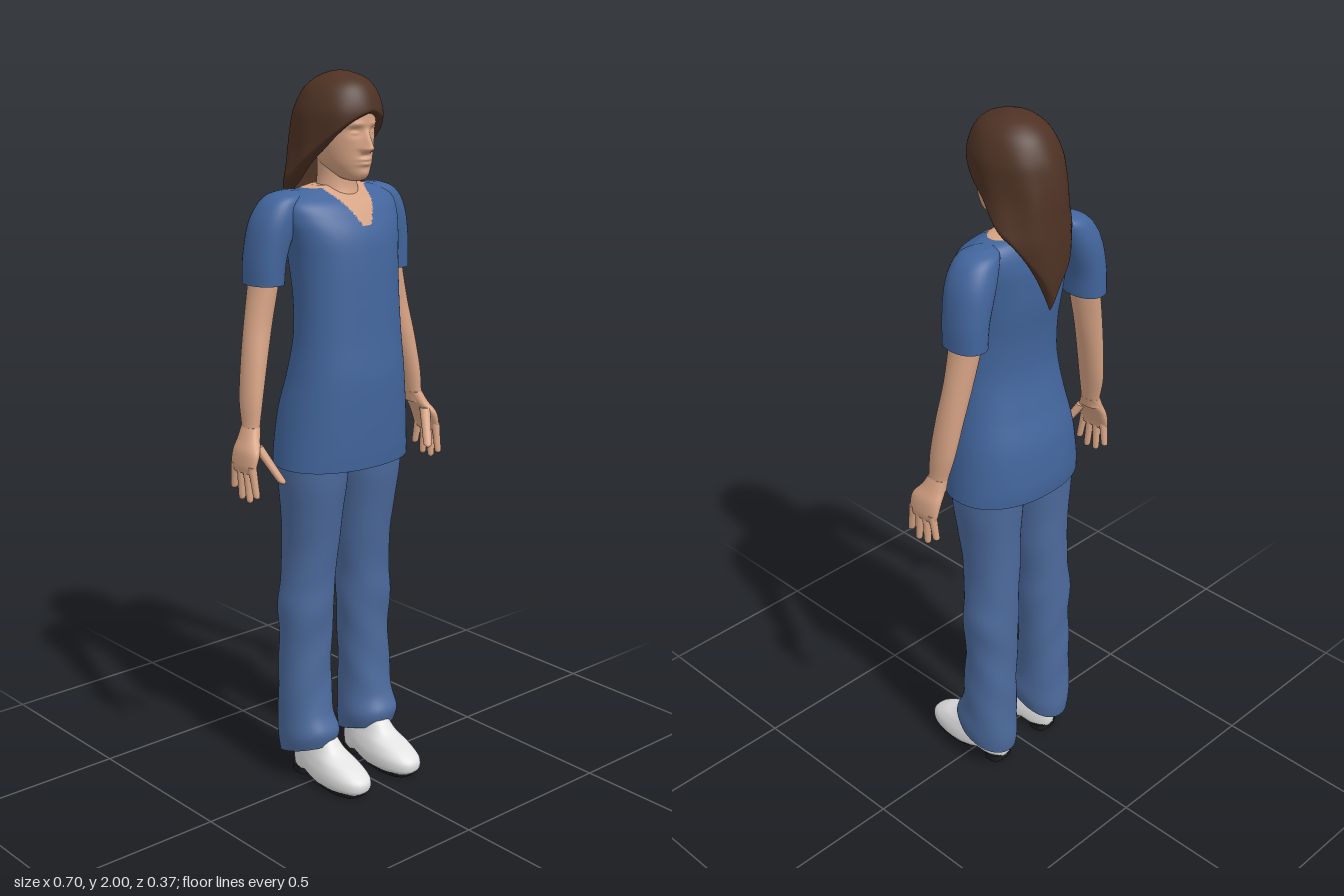
import * as THREE from 'three';

const mat = (name, color, side = THREE.FrontSide) => {
  const m = new THREE.MeshStandardMaterial({ color, side });
  m.name = name;
  return m;
};
const tunicBlue = mat('tunic blue', 0x42659c);
const trouserBlue = mat('trouser blue', 0x4c6a9c);
const skin = mat('skin', 0xd6a384);
const hairBrown = mat('hair brown', 0x4e3224, THREE.DoubleSide);
const shoeWhite = mat('shoe white', 0xe2e2e2);
const soleBlack = mat('sole black', 0x1c1c1c);

const gauss = (d, w) => Math.exp(-(d * d) / (w * w));
const clamp = THREE.MathUtils.clamp;

// Smooth interpolation through a list of rows at fractional index u
function sample(rows, u) {
  const n = rows.length - 1;
  const i = clamp(Math.floor(u), 0, n - 1), f = u - i;
  const P = k => rows[clamp(k, 0, n)];
  return P(i).map((b, k) => {
    const a = P(i - 1)[k], c = P(i + 1)[k], d = P(i + 2)[k];
    return b + 0.5 * f * (c - a + f * (2 * a - 5 * b + 4 * c - d + f * (3 * (b - c) + d - a)));
  });
}

// Skin rows of [y, xMin, xMax, zMin, zMax], bottom to top, with a closed smooth surface.
// p squares the outline, remap shifts the row index, warp moves points, pick chooses a material.
function loft(rows, { seg = 32, steps = 32, p = 2, remap, warp, pick, caps = true } = {}) {
  const pos = [], lists = [[], []];
  const bend = v => Math.sign(v) * Math.abs(v) ** (2 / p);
  for (let i = 0; i <= steps; i++) {
    for (let j = 0; j < seg; j++) {
      const t = i / steps, turn = (j / seg) * 2 * Math.PI;
      const a = turn > Math.PI ? turn - 2 * Math.PI : turn;
      const [y, x0, x1, z0, z1] = sample(rows, remap ? remap(t, a) : t * (rows.length - 1));
      const c = new THREE.Vector3((x0 + x1) / 2, y, (z0 + z1) / 2);
      const v = new THREE.Vector3(c.x + bend(Math.sin(a)) * (x1 - x0) / 2, y, c.z + bend(Math.cos(a)) * (z1 - z0) / 2);
      if (warp) warp(v, a, t, c);
      pos.push(v.x, v.y, v.z);
    }
  }
  const mid = (ids, k) => ids.reduce((s, id) => s + pos[id * 3 + k], 0) / ids.length;
  const tri = (...ids) => lists[pick && pick(mid(ids, 0), mid(ids, 1), mid(ids, 2)) ? 1 : 0].push(...ids);
  for (let i = 0; i < steps; i++) {
    for (let j = 0; j < seg; j++) {
      const a = i * seg + j, b = i * seg + (j + 1) % seg;
      tri(a, b, b + seg);
      tri(a, b + seg, a + seg);
    }
  }
  if (caps) {
    for (const row of [0, steps]) {
      const start = pos.length / 3, ring = [...Array(seg).keys()].map(j => row * seg + j);
      const centre = [0, 1, 2].map(k => mid(ring, k));
      ring.forEach(id => pos.push(pos[id * 3], pos[id * 3 + 1], pos[id * 3 + 2]));
      pos.push(...centre);
      for (let j = 0; j < seg; j++) {
        const a = start + j, b = start + (j + 1) % seg;
        if (row) tri(a, b, start + seg); else tri(b, a, start + seg);
      }
    }
  }
  const g = new THREE.BufferGeometry();
  g.setAttribute('position', new THREE.Float32BufferAttribute(pos, 3));
  g.setIndex([...lists[0], ...lists[1]]);
  if (pick) {
    g.addGroup(0, lists[0].length, 0);
    g.addGroup(lists[0].length, lists[1].length, 1);
  }
  g.computeVertexNormals();
  return g;
}

// Rows for the -x side are the +x rows reflected
const sided = (rows, s) => rows.map(([y, a, b, c, d]) => (s > 0 ? [y, a, b, c, d] : [y, -b, -a, c, d]));

// Rows for a rounded finger running from its tip up to its root
function fingerRows(tip, root, r) {
  return [[0, 0.3], [0.04, 0.7], [0.12, 0.92], [0.5, 1], [1, 1.15]].map(([t, k]) => {
    const [x, y, z] = tip.map((v, i) => v + (root[i] - v) * t);
    return [y, x - r * k, x + r * k, z - r * k, z + r * k];
  });
}

export function createModel() {
  const model = new THREE.Group();
  model.name = 'woman in scrubs';
  const add = (parent, name, geometry, material) => {
    const m = new THREE.Mesh(geometry, material);
    m.name = name;
    parent.add(m);
  };

  // Tunic body with the open V neck showing skin
  add(model, 'tunic', loft([
    [0.945, -0.205, 0.205, -0.175, 0.115], [1.0, -0.2, 0.2, -0.178, 0.12], [1.1, -0.188, 0.188, -0.168, 0.125],
    [1.2, -0.172, 0.172, -0.14, 0.126], [1.3, -0.16, 0.16, -0.118, 0.118], [1.4, -0.156, 0.156, -0.12, 0.112],
    [1.5, -0.16, 0.16, -0.135, 0.105], [1.57, -0.17, 0.17, -0.14, 0.094], [1.62, -0.182, 0.182, -0.14, 0.072],
    [1.66, -0.18, 0.18, -0.132, 0.044], [1.687, -0.145, 0.145, -0.118, 0.005], [1.703, -0.075, 0.075, -0.1, -0.015],
  ], {
    seg: 160, steps: 140, p: 2.2,
    pick: (x, y, z) => y > 1.697 || (z > -0.04 && Math.abs(x) < 0.012 + 0.62 * (y - 1.6) && y > 1.602),
  }), [tunicBlue, skin]);

  // Neck
  add(model, 'neck', loft([
    [1.65, -0.07, 0.07, -0.1, 0.03], [1.69, -0.058, 0.058, -0.1, 0.014], [1.73, -0.05, 0.05, -0.1, 0.01],
    [1.78, -0.05, 0.05, -0.1, 0.01],
  ]), skin);

  // Head with nose, eye sockets, closed lids, lips and chin raised from the front
  add(model, 'head', loft([
    [1.717, -0.018, 0.018, 0.015, 0.05], [1.727, -0.034, 0.034, -0.03, 0.066], [1.76, -0.058, 0.058, -0.09, 0.073],
    [1.8, -0.071, 0.071, -0.12, 0.075], [1.84, -0.078, 0.078, -0.14, 0.077], [1.88, -0.08, 0.08, -0.145, 0.079],
    [1.92, -0.076, 0.076, -0.135, 0.07], [1.96, -0.045, 0.045, -0.1, 0.025],
  ], {
    seg: 128, steps: 96,
    warp: v => {
      if (v.z < 0.01) return;
      const { x, y } = v, ax = Math.abs(x);
      const ridge = clamp((1.856 - y) / 0.05, 0, 1) * clamp((y - 1.788) / 0.014, 0, 1);
      v.z += 0.028 * ridge * gauss(x, 0.007 + 0.008 * ridge);
      v.z += 0.007 * gauss(ax - 0.012, 0.006) * gauss(y - 1.798, 0.008);
      v.z -= 0.01 * gauss(ax - 0.031, 0.016) * gauss(y - 1.847, 0.012);
      v.z += 0.006 * gauss(ax - 0.031, 0.011) * gauss(y - 1.844, 0.006);
      v.z += 0.004 * gauss(ax - 0.03, 0.02) * gauss(y - 1.866, 0.007);
      v.z += 0.008 * gauss(x, 0.02) * (gauss(y - 1.775, 0.005) + gauss(y - 1.763, 0.006));
      v.z += 0.005 * gauss(x, 0.02) * gauss(y - 1.738, 0.012);
    },
  }), skin);

  // Long hair: the lower edge runs from the fringe, past the ears, to a point on the back
  const hairEdge = [1.888, 1.875, 1.85, 1.81, 1.765, 1.715, 1.68, 1.62, 1.55, 1.495].map(y => [y]);
  add(model, 'hair', loft([
    [1.45, -0.07, 0.06, -0.17, -0.06], [1.5, -0.085, 0.075, -0.175, -0.05], [1.55, -0.1, 0.09, -0.178, -0.03],
    [1.6, -0.115, 0.105, -0.182, 0], [1.65, -0.128, 0.122, -0.184, 0.02], [1.7, -0.132, 0.13, -0.185, 0.04],
    [1.75, -0.125, 0.122, -0.183, 0.06], [1.8, -0.118, 0.112, -0.182, 0.075], [1.85, -0.116, 0.11, -0.175, 0.088],
    [1.9, -0.112, 0.108, -0.162, 0.092], [1.95, -0.092, 0.09, -0.135, 0.075], [1.98, -0.062, 0.062, -0.1, 0.045],
    [1.995, -0.03, 0.03, -0.06, 0], [2.0, -0.001, 0.001, -0.031, -0.029],
  ], {
    seg: 96, steps: 70, caps: false,
    remap: (t, a) => {
      const fromParting = Math.min(Math.abs(a - 0.1 * Math.cos(a / 2)), Math.PI);
      const low = (sample(hairEdge, fromParting / Math.PI * 9)[0] - 1.45) / 0.05;
      return low + (13 - low) * t;
    },
    warp: (v, a, t, c) => {
      // strands ripple gently and the edge tucks in towards the head
      let k = 1 + 0.018 * Math.sin(8 * a + 14 * v.y) * clamp((1.95 - v.y) / 0.15, 0, 1);
      if (t < 0.08) k -= 0.25 * (1 - t / 0.08) ** 2;
      v.x = c.x + (v.x - c.x) * k;
      v.z = c.z + (v.z - c.z) * k;
    },
  }), hairBrown);

  for (const s of [1, -1]) {
    const side = s > 0 ? 'left' : 'right';
    const arm = new THREE.Group(), leg = new THREE.Group();
    arm.name = side + 'Arm';
    leg.name = side + 'Leg';
    model.add(arm, leg);

    // Short sleeve and bare arm
    add(arm, 'sleeve', loft(sided([
      [1.452, 0.175, 0.272, -0.147, -0.02], [1.52, 0.168, 0.27, -0.148, -0.016], [1.6, 0.14, 0.258, -0.145, -0.01],
      [1.65, 0.12, 0.237, -0.135, -0.012], [1.68, 0.11, 0.208, -0.12, -0.022], [1.694, 0.12, 0.17, -0.09, -0.05],
    ], s), { p: 2.2 }), tunicBlue);
    add(arm, 'arm', loft(sided([
      [1.05, 0.283, 0.325, -0.083, -0.018], [1.08, 0.277, 0.318, -0.083, -0.022], [1.15, 0.262, 0.315, -0.1, -0.022],
      [1.25, 0.236, 0.302, -0.111, -0.03], [1.35, 0.208, 0.284, -0.12, -0.04], [1.45, 0.186, 0.263, -0.13, -0.038],
      [1.5, 0.182, 0.26, -0.13, -0.038],
    ], s)), skin);

    // Palm, four fingers and a thumb reaching forward
    add(arm, 'palm', loft(sided([
      [0.965, 0.327, 0.348, -0.08, 0.012], [0.985, 0.322, 0.35, -0.086, 0.016], [1.02, 0.306, 0.345, -0.087, 0.014],
      [1.05, 0.288, 0.331, -0.084, -0.008], [1.08, 0.277, 0.318, -0.083, -0.022],
    ], s), { p: 2.3 }), skin);
    [[0.9, 0.018], [0.882, -0.012], [0.885, -0.046], [0.91, -0.08]].forEach(([y, z], i) => {
      const rows = fingerRows([0.335, y, z], [0.338, 0.985, 0.003 - 0.024 * i], 0.0105);
      add(arm, 'finger', loft(sided(rows, s), { seg: 16, steps: 16 }), skin);
    });
    const thumb = fingerRows([0.267, 0.935, 0.046], [0.308, 1.035, -0.012], 0.0135);
    add(arm, 'thumb', loft(sided(thumb, s), { seg: 16, steps: 16 }), skin);

    // Loose trouser leg with soft folds and a cuff that dips at the heel
    add(leg, 'trouser', loft(sided([
      [0.092, 0.042, 0.183, -0.134, 0.045], [0.135, 0.035, 0.19, -0.138, 0.054], [0.2, 0.04, 0.188, -0.135, 0.03],
      [0.3, 0.04, 0.186, -0.132, 0.018], [0.42, 0.035, 0.182, -0.13, 0.015], [0.52, 0.03, 0.187, -0.132, 0.022],
      [0.6, 0.03, 0.177, -0.13, 0.024], [0.7, 0.022, 0.172, -0.13, 0.035], [0.8, 0.018, 0.178, -0.13, 0.05],
      [0.9, 0.008, 0.188, -0.135, 0.065], [1.0, 0.001, 0.19, -0.14, 0.07],
    ], s), {
      seg: 48, steps: 80, p: 2.2,
      warp: (v, a, t, c) => {
        const k = 1 + 0.018 * Math.sin(38 * v.y + 3 * a * s) * gauss(v.y - 0.35, 0.3);
        v.x = c.x + (v.x - c.x) * k;
        v.z = c.z + (v.z - c.z) * k;
        v.y += 0.3 * (v.z + 0.045) * clamp((0.3 - v.y) / 0.2, 0, 1);
      },
    }), trouserBlue);

    // Clog with a narrow heel, then its dark sole and heel block
    const narrow = (v, a, t, c) => { v.x = c.x + (v.x - c.x) * (0.78 + 0.22 * clamp((v.z + 0.09) / 0.15, 0, 1)); };
    add(leg, 'shoe', loft(sided([
      [0.012, 0.042, 0.15, -0.1, 0.176], [0.025, 0.036, 0.157, -0.108, 0.186], [0.05, 0.036, 0.157, -0.11, 0.183],
      [0.075, 0.042, 0.152, -0.109, 0.145], [0.1, 0.05, 0.146, -0.106, 0.085], [0.135, 0.06, 0.138, -0.1, 0.05],
    ], s), {
      p: 2.5,
      warp: (v, a, t, c) => {
        narrow(v, a, t, c);
        v.y += 0.015 * gauss(v.z + 0.025, 0.03) * (1 - t);
      },
    }), shoeWhite);
    add(leg, 'sole', loft(sided([[0, 0.05, 0.143, 0.0, 0.165], [0.014, 0.046, 0.147, -0.005, 0.172]], s), { p: 2.6, steps: 2 }), soleBlack);
    add(leg, 'heel', loft(sided([[0, 0.06, 0.135, -0.1, -0.04], [0.022, 0.058, 0.137, -0.102, -0.038]], s), { p: 3, steps: 2 }), soleBlack);
  }
  return model;
}
